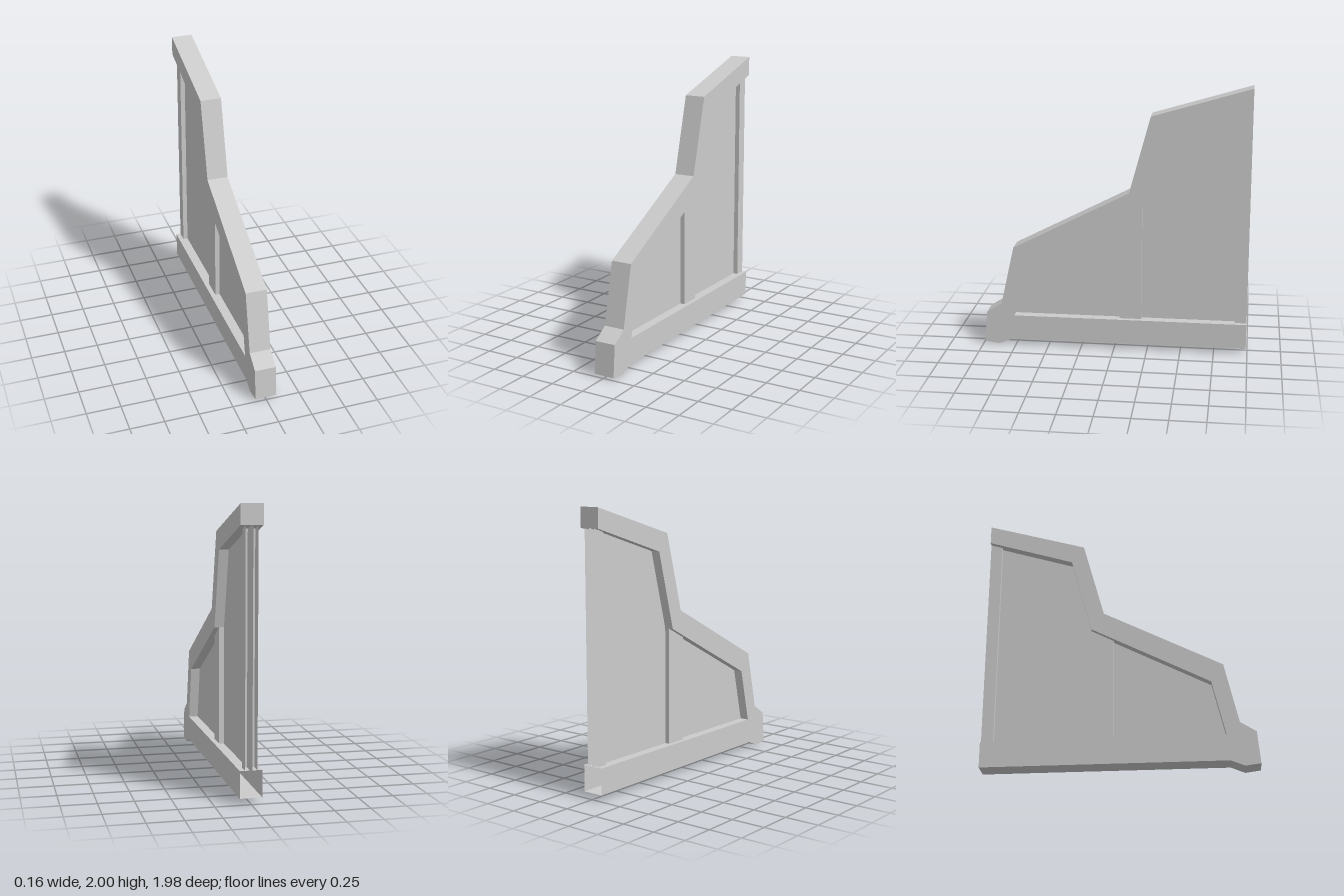
import * as THREE from 'three';

const HALF = 0.078, PANEL = 0.008, BATTEN = 0.043;
const material = new THREE.MeshStandardMaterial({ color: 0xcccccc, flatShading: true, side: THREE.DoubleSide });

// Profiles are [z, y] pairs, counter-clockwise.
const outer = [
  [-0.99, 0.042], [0.78, 0.042], [0.88, 0], [0.99, 0.015], [0.97, 0.25], [0.855, 0.325],
  [0.755, 0.77], [-0.11, 1.215], [-0.265, 1.785], [-0.99, 2],
];
const inner = [[-0.99, 1.86], [-0.355, 1.66], [-0.203, 1.09], [0.665, 0.64], [0.76, 0.232], [-0.99, 0.232]];
const post = [[-0.203, 0.232], [-0.04, 0.232], [-0.04, 1.005], [-0.203, 1.09]];
const strip = [[-0.99, 0.232], [-0.903, 0.232], [-0.903, 1.832], [-0.99, 1.86]];

export function createModel() {
  const model = new THREE.Group();

  const add = (name, geometry) => {
    const mesh = new THREE.Mesh(geometry, material);
    mesh.name = name;
    model.add(mesh);
  };

  // Flat sheet facing outwards at the given x
  const sheet = (name, points, x) => {
    const s = Math.sign(x);
    const shape = new THREE.Shape(points.map(([z, y]) => new THREE.Vector2(-s * z, y)));
    add(name, new THREE.ShapeGeometry(shape).rotateY(s * Math.PI / 2).translate(x, 0, 0));
  };

  // Wall running along a profile between two x positions
  const band = (name, points, x0, x1) => {
    const v = [];
    for (let i = 0; i < points.length - 1; i++) {
      const [pz, py] = points[i], [qz, qy] = points[i + 1];
      v.push(x1, py, pz, x1, qy, qz, x0, qy, qz, x1, py, pz, x0, qy, qz, x0, py, pz);
    }
    const geometry = new THREE.BufferGeometry();
    geometry.setAttribute('position', new THREE.Float32BufferAttribute(v, 3));
    geometry.computeVertexNormals();
    add(name, geometry);
  };

  // Outer rim, closed at the upper rear end and open at the lower one
  band('frameRim', [...outer, inner[0]], -HALF, HALF);

  for (const [side, s] of [['left', 1], ['right', -1]]) {
    const wall = (part, points, x) =>
      band(side + part, points, Math.min(s * PANEL, s * x), Math.max(s * PANEL, s * x));

    // Frame face and the ledge stepping in to the panel
    sheet(side + 'FrameFace', [...outer, ...inner], s * HALF);
    wall('FrameLedge', inner, HALF);

    // Recessed panel
    sheet(side + 'Panel', [...inner].reverse(), s * PANEL);

    // Middle post
    sheet(side + 'PostFace', post, s * BATTEN);
    wall('PostEdges', [...post, post[0]], BATTEN);

    // Rear strip, open at the back
    sheet(side + 'RearStripFace', strip, s * BATTEN);
    wall('RearStripEdge', strip.slice(1, 3), BATTEN);
  }
  return model;
}
